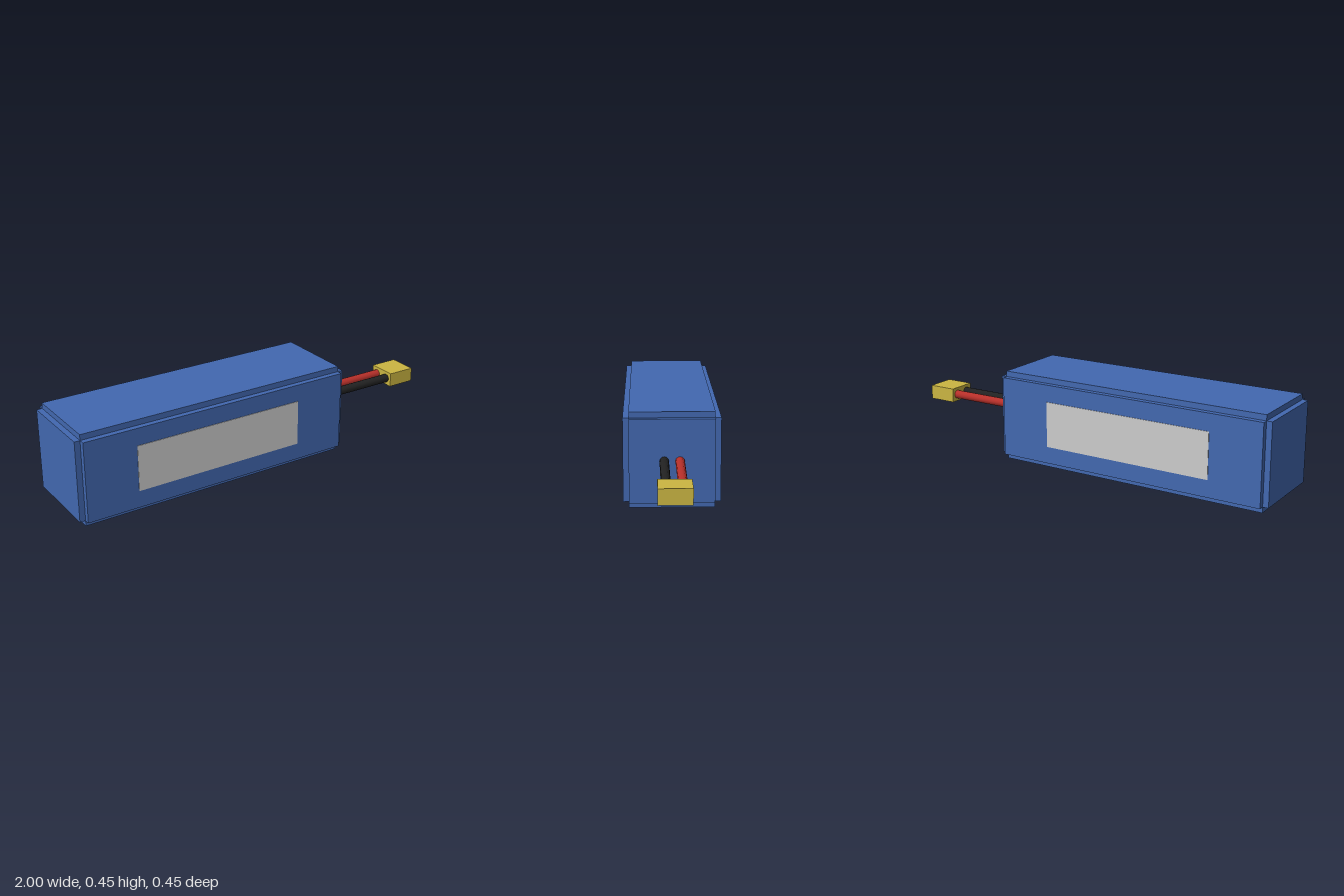
import * as THREE from 'three';

const material = (name, color) => {
  const m = new THREE.MeshStandardMaterial({ color });
  m.name = name;
  return m;
};

export function createModel() {
  const blue = material('blue wrap', 0x4268b0);
  const grey = material('grey label', 0xcccccc);
  const black = material('black wire', 0x222222);
  const red = material('red wire', 0xb8302a);
  const yellow = material('yellow connector', 0xcbb642);

  const model = new THREE.Group();
  model.name = 'batteryPack';

  const box = (name, mat, size, pos) => {
    const mesh = new THREE.Mesh(new THREE.BoxGeometry(...size), mat);
    mesh.name = name;
    mesh.position.set(...pos);
    model.add(mesh);
  };

  // Pack body: three crossed boxes leave a stepped notch along every edge
  const midX = -0.283, midY = 0.224, step = 0.0275;
  const full = [1.434, 0.448, 0.448];
  ['bodyLength', 'bodyHeight', 'bodyDepth'].forEach((name, axis) => {
    const size = full.map((s, i) => (i === axis ? s : s - 2 * step));
    box(name, blue, size, [midX, midY, 0]);
  });

  // Blank labels on both long sides
  for (const [name, side] of [['frontLabel', 1], ['backLabel', -1]]) {
    box(name, grey, [0.866, 0.225, 0.004], [midX, midY, side * 0.2245]);
  }

  // Pair of leads running from the end of the pack into the connector
  const start = 0.4, end = 0.87;
  const wire = new THREE.CylinderGeometry(0.0215, 0.0215, end - start, 12).rotateZ(Math.PI / 2);
  for (const [name, mat, z] of [['blackWire', black, 0.036], ['redWire', red, -0.036]]) {
    const mesh = new THREE.Mesh(wire, mat);
    mesh.name = name;
    mesh.position.set((start + end) / 2, midY + 0.001, z);
    model.add(mesh);
  }

  // Connector block
  box('connector', yellow, [0.143, 0.071, 0.145], [0.9285, midY + 0.001, 0]);

  return model;
}
